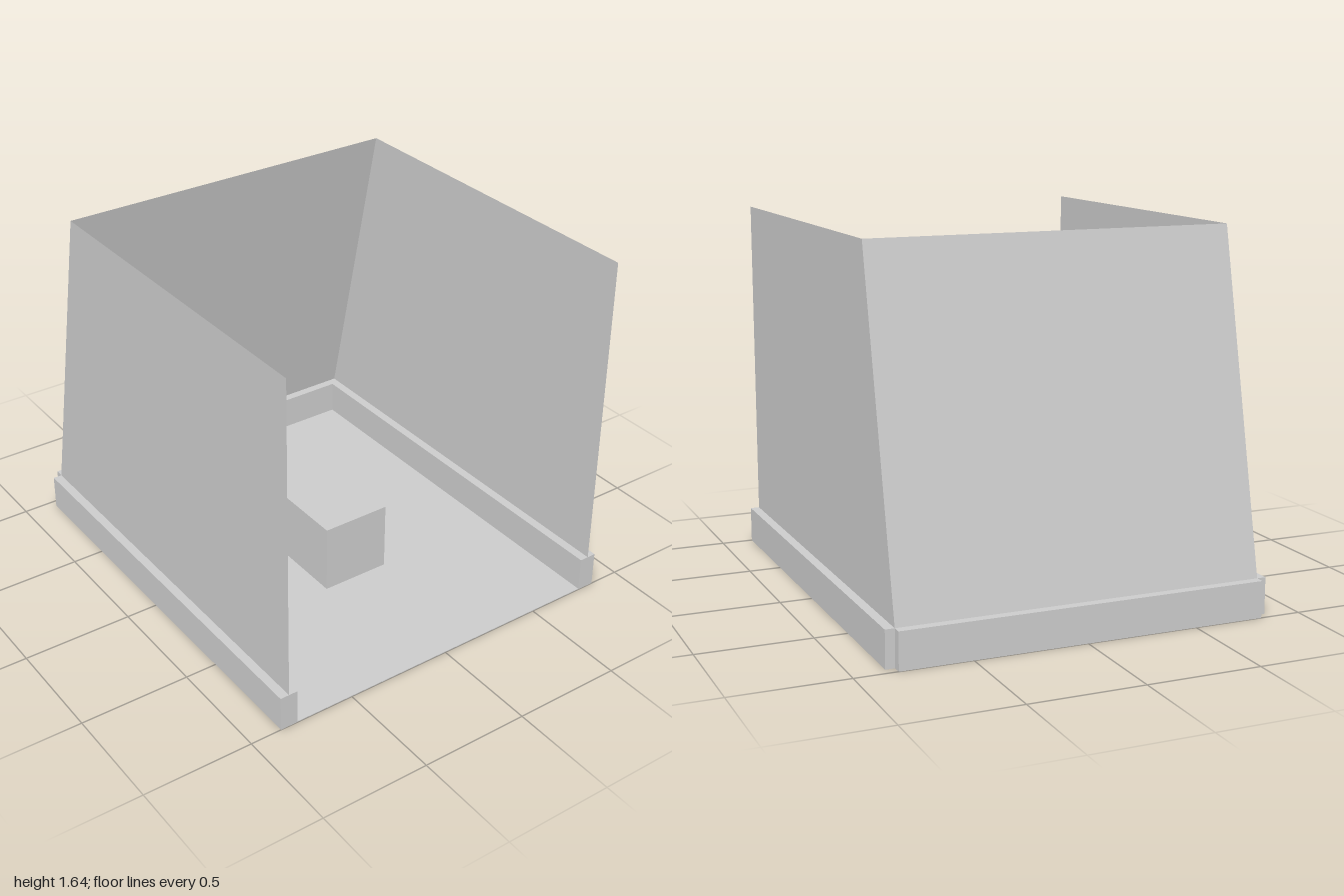
import * as THREE from 'three';

export function createModel() {
  const model = new THREE.Group();
  const material = new THREE.MeshStandardMaterial({ color: 0xcccccc, flatShading: true });
  const sheet = new THREE.MeshStandardMaterial({ color: 0xcccccc, flatShading: true, side: THREE.DoubleSide });

  // Box given by its extents along each axis
  const box = (name, [x0, x1], [y0, y1], [z0, z1]) => {
    const mesh = new THREE.Mesh(new THREE.BoxGeometry(x1 - x0, y1 - y0, z1 - z0), material);
    mesh.position.set((x0 + x1) / 2, (y0 + y1) / 2, (z0 + z1) / 2);
    mesh.name = name;
    model.add(mesh);
  };

  // Thin four-cornered panel
  const panel = (name, corners) => {
    const geometry = new THREE.BufferGeometry();
    geometry.setAttribute('position', new THREE.Float32BufferAttribute(corners.flat(), 3));
    geometry.setIndex([0, 1, 2, 0, 2, 3]);
    geometry.computeVertexNormals();
    const mesh = new THREE.Mesh(geometry, sheet);
    mesh.name = name;
    model.add(mesh);
  };

  const wallX = 0.815, railTop = 0.163, top = 1.637;
  const backLow = -0.96, backHigh = -0.635, front = 1, half = 0.041;

  box('floor', [-wallX, wallX], [0, 0.004], [backLow, front]);
  box('centreBlock', [-0.163, 0.163], [0, 0.327], [0.02, 0.346]);

  // Rails along the sides and back, with the walls standing on their centre lines
  box('backRail', [-wallX, wallX], [0, railTop], [backLow - half, backLow + half]);
  for (const [side, s] of [['left', 1], ['right', -1]]) {
    const x = s * wallX;
    box(side + 'Rail', [x - half, x + half], [0, railTop], [backLow, front]);
    const corners = [[x, railTop, front], [x, railTop, backLow], [x, top, backHigh], [x, top, front]];
    panel(side + 'Wall', s > 0 ? corners : corners.reverse());
  }
  panel('slopingBackWall', [
    [wallX, railTop, backLow], [-wallX, railTop, backLow],
    [-wallX, top, backHigh], [wallX, top, backHigh],
  ]);

  return model;
}
